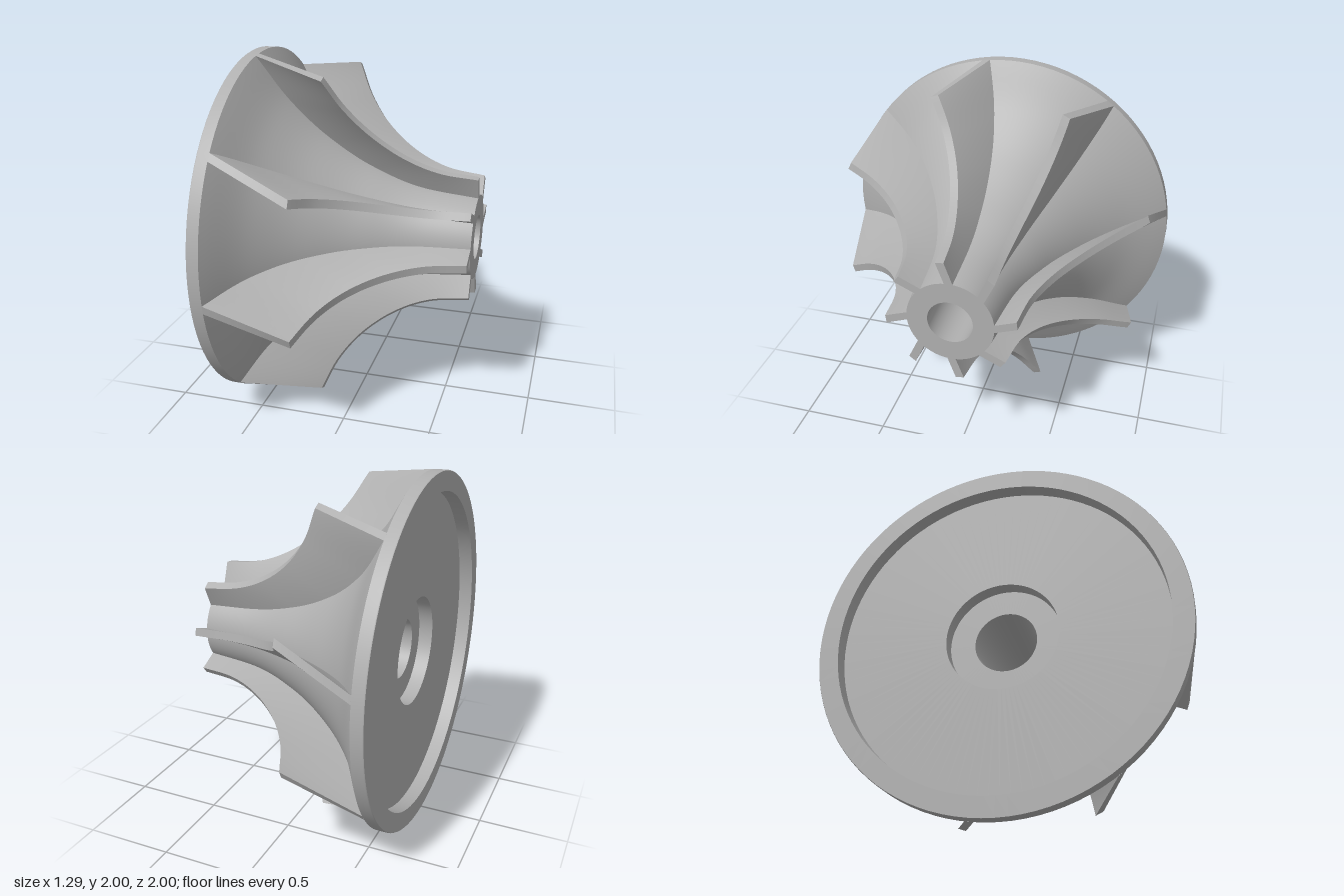
import * as THREE from 'three';
import { ParametricGeometry } from 'three/addons/geometries/ParametricGeometry.js';

// Curves in (axial x, radius, sweep angle in degrees), from nose to back
const curve = rows => new THREE.CatmullRomCurve3(rows.map(r => new THREE.Vector3(...r)));
const hubCurve = curve([
  [0.645, 0.24, 0], [0.345, 0.273, 0.5], [0.061, 0.371, 1.6],
  [-0.197, 0.53, 3.3], [-0.411, 0.739, 5.6], [-0.578, 1, 8.4],
]);
const tipCurve = curve([
  [0.645, 0.362, 7.6], [0.435, 0.39, 9.6], [0.238, 0.475, 12],
  [0.067, 0.61, 14.4], [-0.065, 0.78, 17], [-0.15, 0.965, 19.5],
]);
const BLADES = 8;
const HALF_THICKNESS = 0.023;

// Point of a blade: u nose to back, v root to tip, w across the thickness (-1..1)
function bladePoint(u, v, w, out) {
  const toCartesian = (p, sink) => {
    const t = THREE.MathUtils.degToRad(p.z);
    const r = p.y - sink;
    return new THREE.Vector3(p.x, r * Math.cos(t), r * Math.sin(t));
  };
  // the root sinks slightly into the hub, except at the rim
  const root = toCartesian(hubCurve.getPoint(u), 0.012 * (1 - u));
  const tip = toCartesian(tipCurve.getPoint(u), 0);
  out.lerpVectors(root, tip, v);
  // thicken around the axis
  const { y, z } = out;
  const d = w * HALF_THICKNESS / Math.hypot(y, z);
  out.y = y - z * d;
  out.z = z + y * d;
}

export function createModel() {
  const model = new THREE.Group();
  const metal = new THREE.MeshStandardMaterial({ color: 0xb0b0b0 });
  metal.name = 'grey metal';

  const wheel = new THREE.Group();
  wheel.name = 'wheel';
  wheel.position.y = 1;
  model.add(wheel);

  // Turned surfaces: each profile is a list of (radius, axial x)
  const turned = (name, points) => {
    const mesh = new THREE.Mesh(
      new THREE.LatheGeometry(points.map(p => new THREE.Vector2(...p)), 96), metal);
    mesh.name = name;
    mesh.rotation.z = -Math.PI / 2;
    wheel.add(mesh);
  };
  turned('hubFlare', hubCurve.getPoints(40).reverse().map(p => [p.y, p.x]));
  turned('noseFace', [[0.24, 0.645], [0.125, 0.645]]);
  turned('bore', [[0.125, 0.645], [0.17, -0.485]]);
  turned('counterboreFloor', [[0.17, -0.485], [0.307, -0.485]]);
  turned('counterboreWall', [[0.307, -0.485], [0.307, -0.565]]);
  turned('backFace', [[0.307, -0.565], [0.89, -0.565]]);
  turned('recessWall', [[0.89, -0.565], [0.89, -0.645]]);
  turned('rimBack', [[0.89, -0.645], [0.997, -0.645]]);
  turned('rimEdge', [[0.997, -0.645], [1, -0.64], [1, -0.578]]);

  // Blade faces: two sides, outer edge, nose end and trailing edge
  const faces = [
    ['bladeSideA', (a, b, o) => bladePoint(b, a, 1, o), 8, 32],
    ['bladeSideB', (a, b, o) => bladePoint(a, b, -1, o), 32, 8],
    ['bladeOuterEdge', (a, b, o) => bladePoint(a, 1, 2 * b - 1, o), 32, 1],
    ['bladeNoseEnd', (a, b, o) => bladePoint(0, a, 2 * b - 1, o), 4, 1],
    ['bladeTrailingEdge', (a, b, o) => bladePoint(1, b, 2 * a - 1, o), 1, 8],
  ].map(([name, fn, nu, nv]) => [name, new ParametricGeometry(fn, nu, nv)]);

  for (let i = 0; i < BLADES; i++) {
    const blade = new THREE.Group();
    blade.name = 'blade' + (i + 1);
    blade.rotation.x = i * 2 * Math.PI / BLADES;
    for (const [name, geometry] of faces) {
      const mesh = new THREE.Mesh(geometry, metal);
      mesh.name = name;
      blade.add(mesh);
    }
    wheel.add(blade);
  }
  return model;
}
